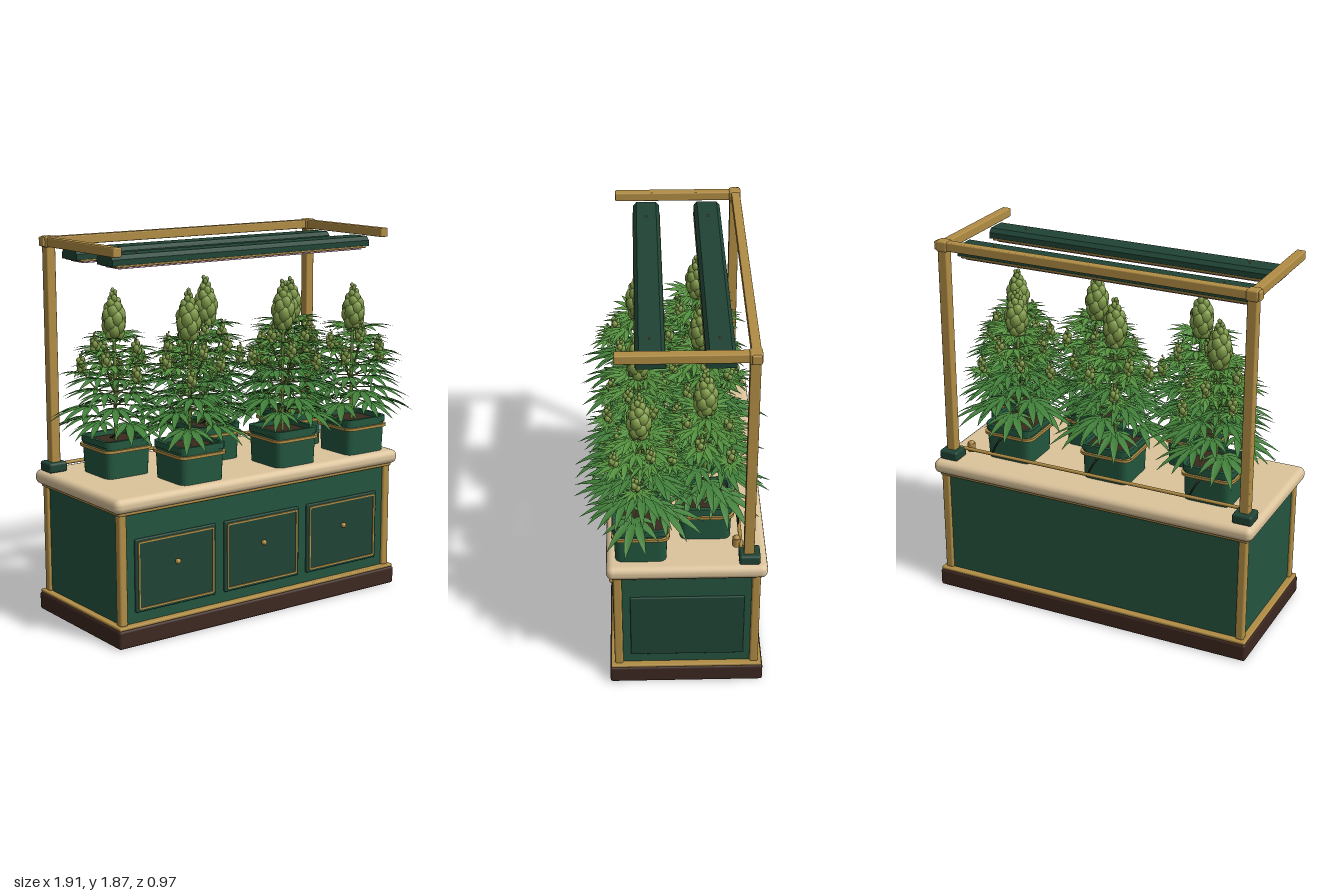
import * as THREE from 'three';
import { mergeGeometries } from 'three/addons/utils/BufferGeometryUtils.js';
import { RoundedBoxGeometry } from 'three/addons/geometries/RoundedBoxGeometry.js';

const mat = (color, side = THREE.FrontSide) => new THREE.MeshStandardMaterial({ color, side });
const green = mat(0x24543f), darkGreen = mat(0x1f4335), gold = mat(0xb18d45), cream = mat(0xdcc49c);
const wood = mat(0x3d2720), potGreen = mat(0x23573f), soilBrown = mat(0x3a2a1e), pink = mat(0xd3a9bc);
const rubber = mat(0x1c1f1e), stemGreen = mat(0x6a8a3c), budGreen = mat(0x7f9a48);
const fanGreen = mat(0x42803a, THREE.DoubleSide), topGreen = mat(0x55923f, THREE.DoubleSide);

const CX = -0.056, CZ = -0.067; // centre of the cabinet

function add(parent, name, geometry, material, x = 0, y = 0, z = 0) {
  const mesh = new THREE.Mesh(geometry, material);
  mesh.name = name;
  mesh.position.set(x, y, z);
  parent.add(mesh);
  return mesh;
}

// box given by its limits, with softened edges
function box(parent, name, material, [x0, x1], [y0, y1], [z0, z1], r = 0.006) {
  return add(parent, name, new RoundedBoxGeometry(x1 - x0, y1 - y0, z1 - z0, 2, r), material,
    (x0 + x1) / 2, (y0 + y1) / 2, (z0 + z1) / 2);
}

function roundedRect(w, h, r, Type = THREE.Shape) {
  const s = new Type(), a = w / 2, b = h / 2;
  s.moveTo(-a + r, -b).lineTo(a - r, -b).quadraticCurveTo(a, -b, a, -b + r);
  s.lineTo(a, b - r).quadraticCurveTo(a, b, a - r, b);
  s.lineTo(-a + r, b).quadraticCurveTo(-a, b, -a, b - r);
  s.lineTo(-a, -b + r).quadraticCurveTo(-a, -b, -a + r, -b);
  return s;
}

function frame(w, h, t, depth, r) {
  const s = roundedRect(w, h, r);
  s.holes.push(roundedRect(w - 2 * t, h - 2 * t, Math.max(r - t, 0.003), THREE.Path));
  return new THREE.ExtrudeGeometry(s, { depth, bevelEnabled: false, curveSegments: 5 });
}

function tube(points, radius, segments = 8) {
  const curve = new THREE.CatmullRomCurve3(points.map(p => new THREE.Vector3(...p)));
  return new THREE.TubeGeometry(curve, segments, radius, 6);
}

function makeCabinet() {
  const g = new THREE.Group();
  g.name = 'cabinet';
  box(g, 'plinth', wood, [-0.908, 0.796], [0, 0.09], [-0.442, 0.308], 0.012);
  box(g, 'plinthTrim', gold, [-0.903, 0.791], [0.088, 0.104], [-0.437, 0.303]);
  box(g, 'body', green, [-0.872, 0.76], [0.1, 0.645], [-0.405, 0.272]);
  box(g, 'topTrim', gold, [-0.89, 0.778], [0.636, 0.654], [-0.424, 0.29]);
  box(g, 'worktop', cream, [-0.92, 0.808], [0.65, 0.722], [-0.45, 0.316], 0.032);
  for (const sx of [-1, 1]) for (const sz of [-1, 1])
    add(g, 'cornerPost', new RoundedBoxGeometry(0.042, 0.54, 0.042, 2, 0.01), gold,
      CX + sx * 0.81, 0.37, CZ + sz * 0.331);
  // three front doors with gold beading and a knob
  for (const x of [-0.57, -0.057, 0.455]) {
    box(g, 'door', darkGreen, [x - 0.23, x + 0.23], [0.155, 0.512], [0.26, 0.284]);
    add(g, 'doorBeading', frame(0.432, 0.33, 0.008, 0.006, 0.012), gold, x, 0.334, 0.283);
    add(g, 'doorKnob', new THREE.SphereGeometry(0.014, 14, 10), gold, x, 0.37, 0.297);
  }
  box(g, 'sidePanel', darkGreen, [0.745, 0.769], [0.155, 0.515], [-0.345, 0.205]);
  return g;
}

function makeLampFrame() {
  const g = new THREE.Group();
  g.name = 'lampFrame';
  for (const x of [-0.853, 0.735]) {
    box(g, 'postClamp', darkGreen, [x - 0.05, x + 0.05], [0.72, 0.77], [-0.413, -0.313], 0.012);
    box(g, 'upright', gold, [x - 0.024, x + 0.024], [0.74, 1.84], [-0.384, -0.335]);
    box(g, 'lampArm', gold, [x - 0.023, x + 0.023], [1.822, 1.867], [-0.385, 0.255]);
    box(g, 'cornerCap', gold, [x - 0.03, x + 0.03], [1.818, 1.872], [-0.391, -0.331], 0.01);
  }
  box(g, 'topRail', gold, [-0.893, 0.775], [1.823, 1.868], [-0.386, -0.342]);
  // two lamps: tapered housing, gold rim, glowing panel
  const profile = new THREE.Shape([[-0.067, 0], [0.067, 0], [0.067, 0.03], [0.05, 0.05], [-0.05, 0.05], [-0.067, 0.03]]
    .map(p => new THREE.Vector2(...p)));
  const housing = new THREE.ExtrudeGeometry(profile, { depth: 1.535, bevelEnabled: false });
  housing.rotateY(Math.PI / 2);
  for (const z of [-0.215, 0.097]) {
    add(g, 'lampHousing', housing, darkGreen, -0.825, 1.77, z);
    box(g, 'lampRim', gold, [-0.805, 0.69], [1.763, 1.773], [z - 0.07, z + 0.07], 0.003);
    box(g, 'lampPanel', pink, [-0.785, 0.67], [1.755, 1.768], [z - 0.058, z + 0.058], 0.003);
    for (const x of [-0.655, 0.54])
      add(g, 'lampHanger', new THREE.CylinderGeometry(0.004, 0.004, 0.012, 8), gold, x, 1.823, z);
  }
  return g;
}

function makePot() {
  const g = new THREE.Group();
  g.name = 'pot';
  // square pot, open at the top, narrowing slightly to its foot
  const wall = frame(0.256, 0.256, 0.014, 0.185, 0.045).rotateX(-Math.PI / 2);
  const p = wall.attributes.position;
  for (let i = 0; i < p.count; i++) {
    const k = 0.95 + 0.05 * p.getY(i) / 0.185;
    p.setX(i, p.getX(i) * k);
    p.setZ(i, p.getZ(i) * k);
  }
  wall.computeVertexNormals();
  add(g, 'potWall', wall, potGreen);
  add(g, 'potRim', frame(0.264, 0.264, 0.018, 0.03, 0.048).rotateX(-Math.PI / 2), potGreen, 0, 0.156);
  add(g, 'potBand', frame(0.276, 0.276, 0.015, 0.014, 0.05).rotateX(-Math.PI / 2), gold, 0, 0.13);
  add(g, 'soil', new THREE.ExtrudeGeometry(roundedRect(0.236, 0.236, 0.04), { depth: 0.15, bevelEnabled: false })
    .rotateX(-Math.PI / 2), soilBrown, 0, 0.012);
  return g;
}

// one pointed leaflet along +x, folded at the midrib and drooping to its tip
function leaflet(length, width) {
  const geo = new THREE.PlaneGeometry(1, 1, 5, 2).rotateX(-Math.PI / 2);
  const p = geo.attributes.position;
  for (let i = 0; i < p.count; i++) {
    const t = p.getX(i) + 0.5;
    const z = p.getZ(i) * width * Math.max(Math.sin(Math.PI * t ** 0.8), 0.04);
    p.setXYZ(i, t * length, Math.abs(z) * 0.35 - 0.28 * length * t * t, z);
  }
  geo.computeVertexNormals();
  return geo;
}

function palmLeaf(length) {
  const fingers = [[0, 1], [0.45, 0.92], [-0.45, 0.92], [0.95, 0.72], [-0.95, 0.72], [1.6, 0.45], [-1.6, 0.45]];
  return mergeGeometries(fingers.map(([a, s]) => leaflet(length * s, length * 0.2 * (0.5 + s / 2)).rotateY(a)));
}

// cluster of plump buds winding up to a point
function budSpike(height, radius, count) {
  const parts = [];
  for (let i = 0; i < count; i++) {
    const t = i / (count - 1), a = i * 2.4;
    const r = radius * (0.3 + 0.7 * Math.sin(Math.PI * Math.min(0.2 + t * 0.85, 1)));
    const size = r * 0.62;
    parts.push(new THREE.SphereGeometry(size, 8, 6).scale(1, 1.35, 1).rotateZ(-0.25)
      .translate(r * 0.5, 0, 0).rotateY(a).translate(0, size + t * (height - 2.2 * size), 0));
  }
  return mergeGeometries(parts);
}

// stem, tiers of leaves and bud spikes shared by all plants; the root is at y = 0
function plantGeometries() {
  const stems = [tube([[0, -0.04, 0], [0.006, 0.25, 0], [0, 0.6, 0]], 0.009)];
  const fan = [], upper = [], buds = [budSpike(0.265, 0.056, 30).translate(0, 0.475, 0)];
  const tiers = 7;
  for (let i = 0; i < tiers; i++) {
    const t = i / (tiers - 1), y = 0.1 + 0.38 * t, pitch = -0.08 + 0.4 * t;
    for (let j = 0; j < 5; j++) {
      const a = j * Math.PI * 0.4 + i * 0.75, vary = 1 + 0.12 * Math.sin(i * 5 + j * 2.3);
      const stalk = (0.12 - 0.07 * t) * vary, length = (0.21 - 0.08 * t) * vary;
      const place = geo => geo.rotateZ(pitch).rotateY(a).translate(0, y, 0);
      (t < 0.6 ? fan : upper).push(place(palmLeaf(length).translate(stalk, 0, 0)));
      stems.push(place(new THREE.CylinderGeometry(0.003, 0.003, stalk, 5).rotateZ(Math.PI / 2).translate(stalk / 2, 0, 0)));
    }
  }
  // side branches, each with a small spike and a tuft of leaves
  for (let k = 0; k < 8; k++) {
    const a = k * 2.4, r = 0.19 - 0.013 * k, y = 0.27 + 0.022 * k;
    const x = r * Math.cos(a), z = r * Math.sin(a);
    stems.push(tube([[0, y - 0.14, 0], [x * 0.6, y - 0.07, z * 0.6], [x, y + 0.02, z]], 0.004, 5));
    buds.push(budSpike(0.11, 0.025, 11).translate(x, y, z));
    for (let j = 0; j < 3; j++)
      upper.push(palmLeaf(0.1).translate(0.01, 0, 0).rotateZ(0.25).rotateY(j * 2.1 + k).translate(x, y, z));
  }
  return [['stems', mergeGeometries(stems), stemGreen], ['fanLeaves', mergeGeometries(fan), fanGreen],
    ['upperLeaves', mergeGeometries(upper), topGreen], ['budSpikes', mergeGeometries(buds), budGreen]];
}

export function createModel() {
  const model = new THREE.Group();
  model.name = 'planterCabinet';
  model.add(makeCabinet(), makeLampFrame());

  // x, z, height scale and turn of each potted plant
  const plants = [[-0.4, 0.15, 1.0, 0.3], [0.17, 0.15, 1.0, 1.4], [0.625, 0.15, 0.93, 2.3],
    [-0.62, -0.16, 0.98, 0.9], [-0.08, -0.16, 1.01, 2.0], [0.46, -0.16, 0.95, 3.1]];
  const geometries = plantGeometries();
  for (const [x, z, tall, turn] of plants) {
    const pot = makePot();
    pot.position.set(x, 0.72, z);
    const plant = new THREE.Group();
    plant.name = 'plant';
    plant.position.set(x, 0.9, z);
    plant.rotation.y = turn;
    plant.scale.y = tall;
    for (const [name, geo, material] of geometries) add(plant, name, geo, material);
    model.add(pot, plant);
  }

  // watering pipe along the back with a hose to each rear pot
  const pipe = new THREE.CylinderGeometry(0.009, 0.009, 1.52, 10).rotateZ(Math.PI / 2);
  add(model, 'waterPipe', pipe, gold, -0.05, 0.763, -0.325);
  add(model, 'pipeValve', new THREE.CylinderGeometry(0.02, 0.02, 0.045, 12), gold, 0.66, 0.768, -0.305);
  add(model, 'valveKnob', new THREE.SphereGeometry(0.018, 12, 8), gold, 0.66, 0.785, -0.305);
  for (const [x, z] of plants.slice(3))
    add(model, 'waterHose', tube([[x + 0.07, 0.765, -0.32], [x + 0.04, 0.83, -0.31], [x - 0.02, 0.915, z + 0.03]], 0.005), rubber);
  return model;
}
